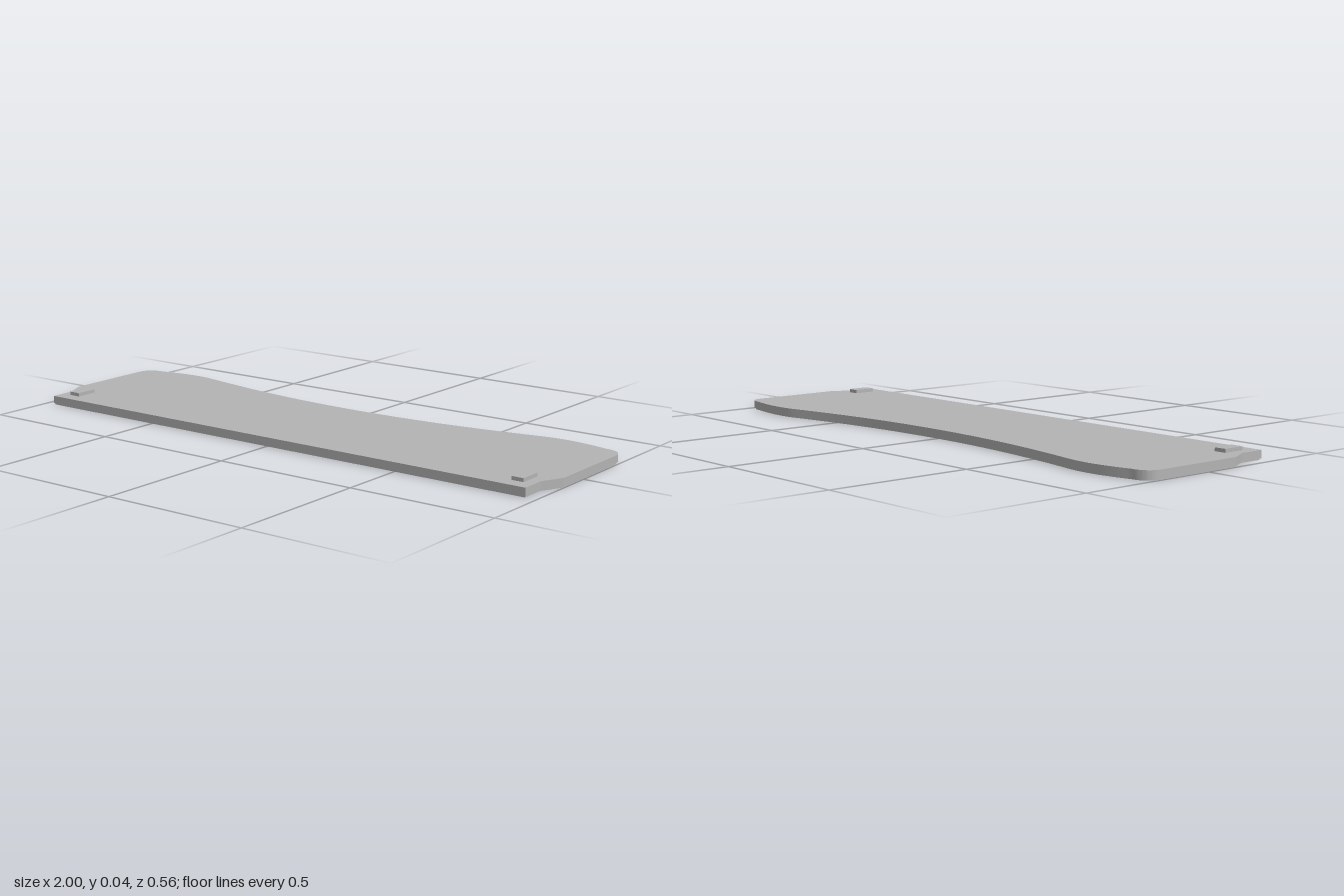
import * as THREE from 'three';
import { toCreasedNormals } from 'three/addons/utils/BufferGeometryUtils.js';

// Plan outline: shape y points to the back (-z)
function outline(sx, sy) {
  const s = new THREE.Shape();
  const P = (x, y) => [x * sx, y * sy];
  s.moveTo(...P(-0.965, -0.278));
  s.lineTo(...P(0.965, -0.278));
  // right-hand notch and side
  s.lineTo(...P(0.965, -0.19));
  s.lineTo(...P(1, -0.12));
  s.lineTo(...P(1, 0.2));
  // rounded rear corner and hump
  s.bezierCurveTo(...P(1, 0.235), ...P(0.975, 0.257), ...P(0.935, 0.257));
  s.bezierCurveTo(...P(0.84, 0.28), ...P(0.77, 0.284), ...P(0.7, 0.272));
  // long concave rear edge
  s.bezierCurveTo(...P(0.46, 0.222), ...P(0.24, 0.196), ...P(0, 0.196));
  s.bezierCurveTo(...P(-0.24, 0.196), ...P(-0.46, 0.222), ...P(-0.7, 0.272));
  s.bezierCurveTo(...P(-0.77, 0.284), ...P(-0.84, 0.28), ...P(-0.935, 0.257));
  s.bezierCurveTo(...P(-0.975, 0.257), ...P(-1, 0.235), ...P(-1, 0.2));
  // left-hand side and notch
  s.lineTo(...P(-1, -0.12));
  s.lineTo(...P(-0.965, -0.19));
  s.closePath();
  return s;
}

export function createModel() {
  const group = new THREE.Group();
  const grey = new THREE.MeshStandardMaterial({ color: 0xb4b4b4 });
  grey.name = 'grey';

  const add = (name, geometry, y, x = 0, z = 0) => {
    const mesh = new THREE.Mesh(geometry, grey);
    mesh.name = name;
    mesh.position.set(x, y, z);
    group.add(mesh);
  };
  const slab = (shape, depth) => {
    const g = new THREE.ExtrudeGeometry(shape, { depth, bevelEnabled: false, curveSegments: 16 });
    g.rotateX(-Math.PI / 2);
    return toCreasedNormals(g, 0.45);
  };

  // main board and its slightly inset underside
  add('board', slab(outline(1, 1), 0.026), 0.005);
  add('underside', slab(outline(0.996, 0.986), 0.005), 0);

  // small locating pads near the front corners
  for (const side of [-1, 1]) {
    add(side < 0 ? 'rightPad' : 'leftPad', new THREE.BoxGeometry(0.042, 0.013, 0.078), 0.0365, side * 0.909, 0.192);
  }
  return group;
}
